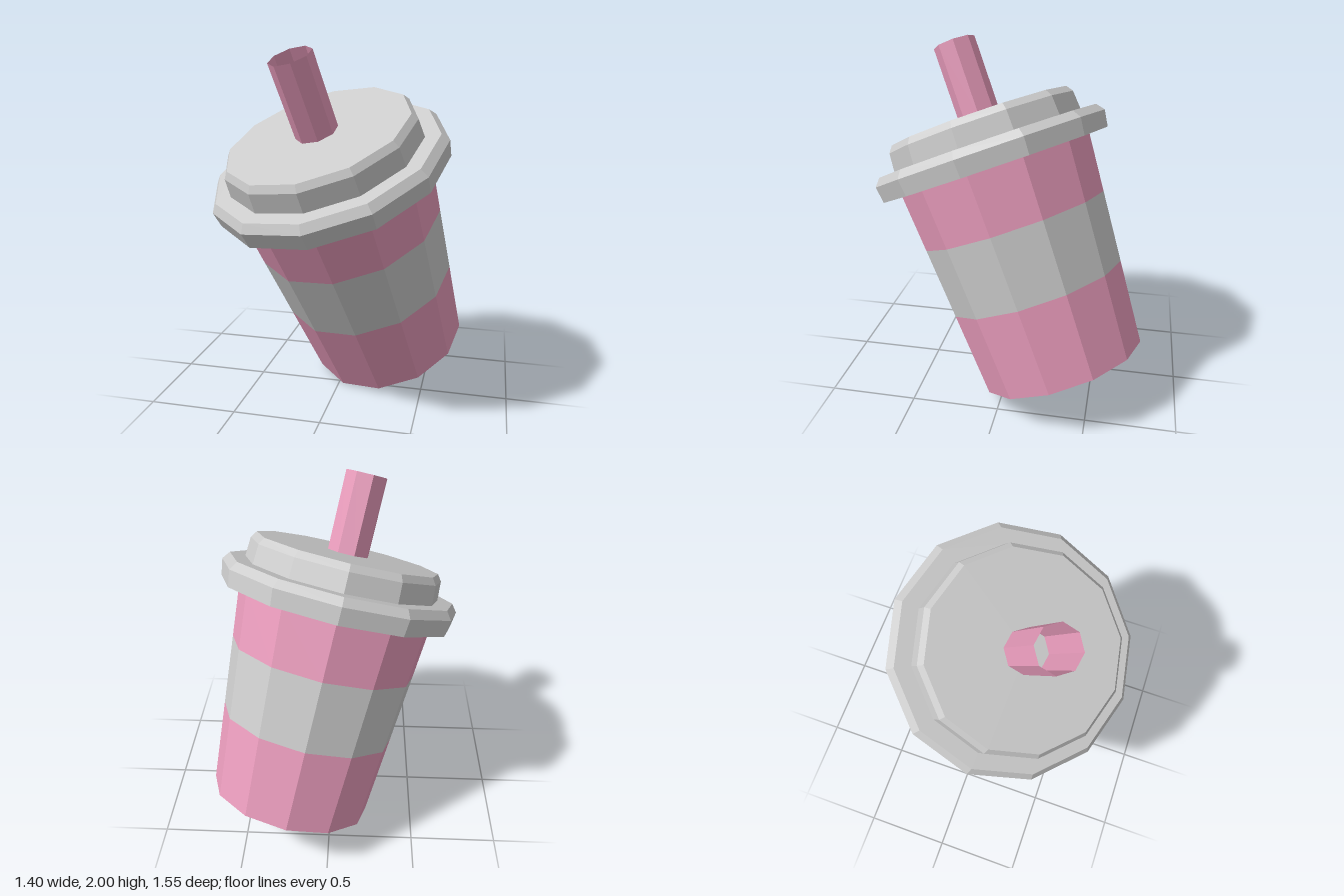
import * as THREE from 'three';

const PINK = new THREE.MeshStandardMaterial({ color: 0xe89bbb, flatShading: true, side: THREE.DoubleSide });
const GREY = new THREE.MeshStandardMaterial({ color: 0xcccccc, flatShading: true, side: THREE.DoubleSide });

// Faceted ring or shell from [radius, height] pairs
function turned(name, profile, sides, material) {
  const points = profile.map(([r, y]) => new THREE.Vector2(r, y));
  const mesh = new THREE.Mesh(new THREE.LatheGeometry(points, sides), material);
  mesh.name = name;
  return mesh;
}

export function createModel() {
  const model = new THREE.Group();
  model.name = 'takeawayCup';

  const cup = new THREE.Group();
  cup.name = 'tiltedCup';
  model.add(cup);

  // Cup wall, open at the bottom, in three bands
  const rim = 1.215;
  const wallRadius = (y) => THREE.MathUtils.lerp(0.47, 0.562, y / rim);
  const band = (name, y0, y1, material) =>
    cup.add(turned(name, [[wallRadius(y0), y0], [wallRadius(y1), y1]], 12, material));
  band('lowerWall', 0, 0.48, PINK);
  band('sleeve', 0.48, 0.885, GREY);
  band('upperWall', 0.885, rim, PINK);

  // Flat underside of the lid rim
  cup.add(turned('rimUnderside', [[wallRadius(rim), rim], [0.667, rim]], 12, PINK));

  // Stepped lid with bevelled edges and a flat top
  cup.add(turned('lid', [
    [0.667, rim], [0.68, 1.308], [0.645, 1.352], [0.557, 1.352],
    [0.548, 1.46], [0.521, 1.497], [0, 1.497],
  ], 12, GREY));

  // Hollow straw
  cup.add(turned('straw', [[0.12, 1.497], [0.12, 1.934]], 8, PINK));

  // Lean the whole cup forward and to one side
  cup.rotation.order = 'YXZ';
  cup.rotation.set(THREE.MathUtils.degToRad(25.2), THREE.MathUtils.degToRad(-30), 0);
  cup.position.set(0.24, 0.2, -0.34);

  return model;
}
